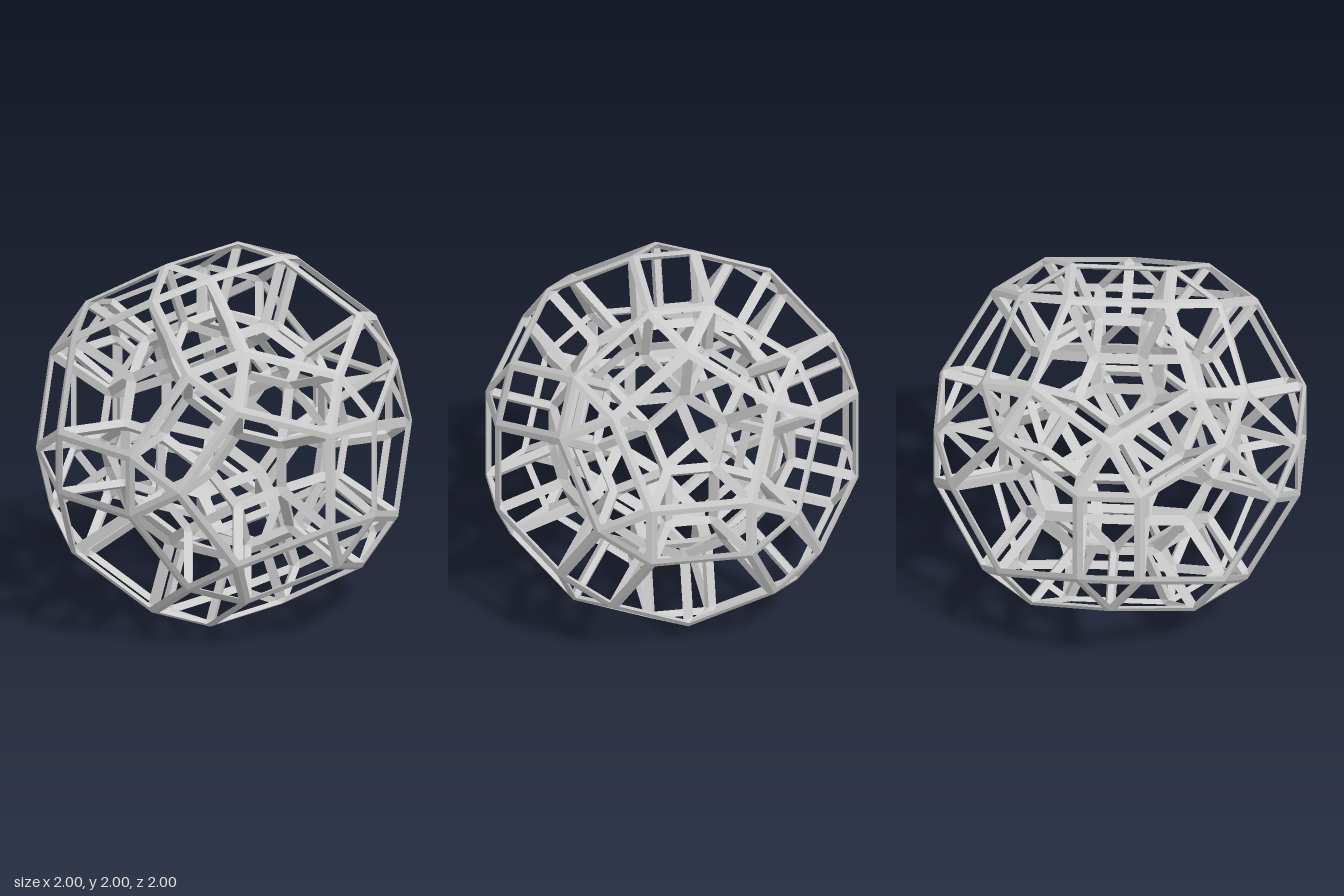
import * as THREE from 'three';
import { mergeGeometries } from 'three/addons/utils/BufferGeometryUtils.js';
import { ConvexGeometry } from 'three/addons/geometries/ConvexGeometry.js';

const PHI = (1 + Math.sqrt(5)) / 2;
const SCALE = 1 / (PHI + PHI ** 3); // puts the outermost vertices at distance 1 along each axis
const BAR = 0.032; // width of the border each bar leaves on a face
const OUTER = PHI ** 2, INNER = 1.25; // how far each shell lies along the three-fold axes

// All sign changes and cyclic turns of (0, a, b)
function cyclicPoints(a, b) {
  const points = [];
  for (const s of [-1, 1]) for (const r of [-1, 1]) {
    const [p, q] = [s * a, r * b];
    points.push(new THREE.Vector3(0, p, q), new THREE.Vector3(q, 0, p), new THREE.Vector3(p, q, 0));
  }
  return points;
}

const near = (a, b, dot) => Math.abs(a.dot(b) - dot) < 0.01;

// Sort vertex indices into a loop around their common centre
function loop(ids, points) {
  const centre = new THREE.Vector3();
  ids.forEach(i => centre.addScaledVector(points[i], 1 / ids.length));
  const n = centre.clone().normalize();
  const u = points[ids[0]].clone().sub(centre).normalize();
  const v = n.clone().cross(u);
  const angle = i => {
    const d = points[i].clone().sub(centre);
    return Math.atan2(d.dot(v), d.dot(u));
  };
  return [...ids].sort((i, j) => angle(i) - angle(j));
}

export function createModel() {
  const fives = cyclicPoints(PHI, 1); // pentagon axes
  const threes = cyclicPoints(1 / PHI, PHI); // triangle axes
  for (const x of [-1, 1]) for (const y of [-1, 1]) for (const z of [-1, 1]) {
    threes.push(new THREE.Vector3(x, y, z));
  }

  // One vertex per neighbouring pentagon and triangle, on both shells
  const corners = [];
  fives.forEach(p => threes.forEach(t => {
    if (near(p, t, PHI ** 2)) corners.push({ p, t });
  }));
  const count = corners.length;
  const points = [OUTER, INNER].flatMap(k =>
    corners.map(({ p, t }) => p.clone().addScaledVector(t, k).multiplyScalar(SCALE)));

  // Shell faces: triangles, pentagons and rectangles
  const pick = test => loop(corners.map((c, i) => i).filter(i => test(corners[i])), points);
  const faces = [];
  threes.forEach(t => faces.push(pick(c => c.t === t)));
  fives.forEach(p => faces.push(pick(c => c.p === p)));
  fives.forEach((p, i) => fives.slice(i + 1).forEach(q => {
    if (near(p, q, PHI)) {
      faces.push(pick(c => (c.p === p || c.p === q) && near(c.t, p, PHI ** 2) && near(c.t, q, PHI ** 2)));
    }
  }));

  // Walls joining each outer edge to the inner edge beneath it
  const walls = new Map();
  faces.forEach(f => f.forEach((a, k) => {
    const b = f[(k + 1) % f.length];
    walls.set(Math.min(a, b) + '-' + Math.max(a, b), [a, b, b + count, a + count]);
  }));
  const all = [...faces, ...faces.map(f => f.map(i => i + count)), ...walls.values()];

  // Each bar and joint is the hull of the inset corners of the faces around it
  const bars = new Map();
  const joints = points.map(p => [p]);
  for (const face of all) {
    const n = face.length;
    const inset = face.map((id, k) => {
      const a = points[id];
      const u = points[face[(k + n - 1) % n]].clone().sub(a).normalize();
      const v = points[face[(k + 1) % n]].clone().sub(a).normalize();
      const c = a.clone().addScaledVector(u.clone().add(v), BAR / Math.sin(u.angleTo(v)));
      joints[id].push(c);
      return c;
    });
    face.forEach((a, k) => {
      const m = (k + 1) % n, b = face[m];
      const key = Math.min(a, b) + '-' + Math.max(a, b);
      if (!bars.has(key)) bars.set(key, { a, b, hull: [points[a], points[b]] });
      bars.get(key).hull.push(inset[k], inset[m]);
    });
  }

  const parts = { outerFrame: [], innerFrame: [], connectingStruts: [], joints: [] };
  for (const { a, b, hull } of bars.values()) {
    const name = a < count && b < count ? 'outerFrame'
      : a >= count && b >= count ? 'innerFrame' : 'connectingStruts';
    parts[name].push(new ConvexGeometry(hull));
  }
  joints.forEach(hull => parts.joints.push(new ConvexGeometry(hull)));

  const model = new THREE.Group();
  model.name = 'openPolyhedralFrame';
  const material = new THREE.MeshStandardMaterial({ color: 0xcccccc, flatShading: true });
  for (const [name, list] of Object.entries(parts)) {
    const mesh = new THREE.Mesh(mergeGeometries(list), material);
    mesh.name = name;
    mesh.position.y = 1;
    model.add(mesh);
  }
  return model;
}
